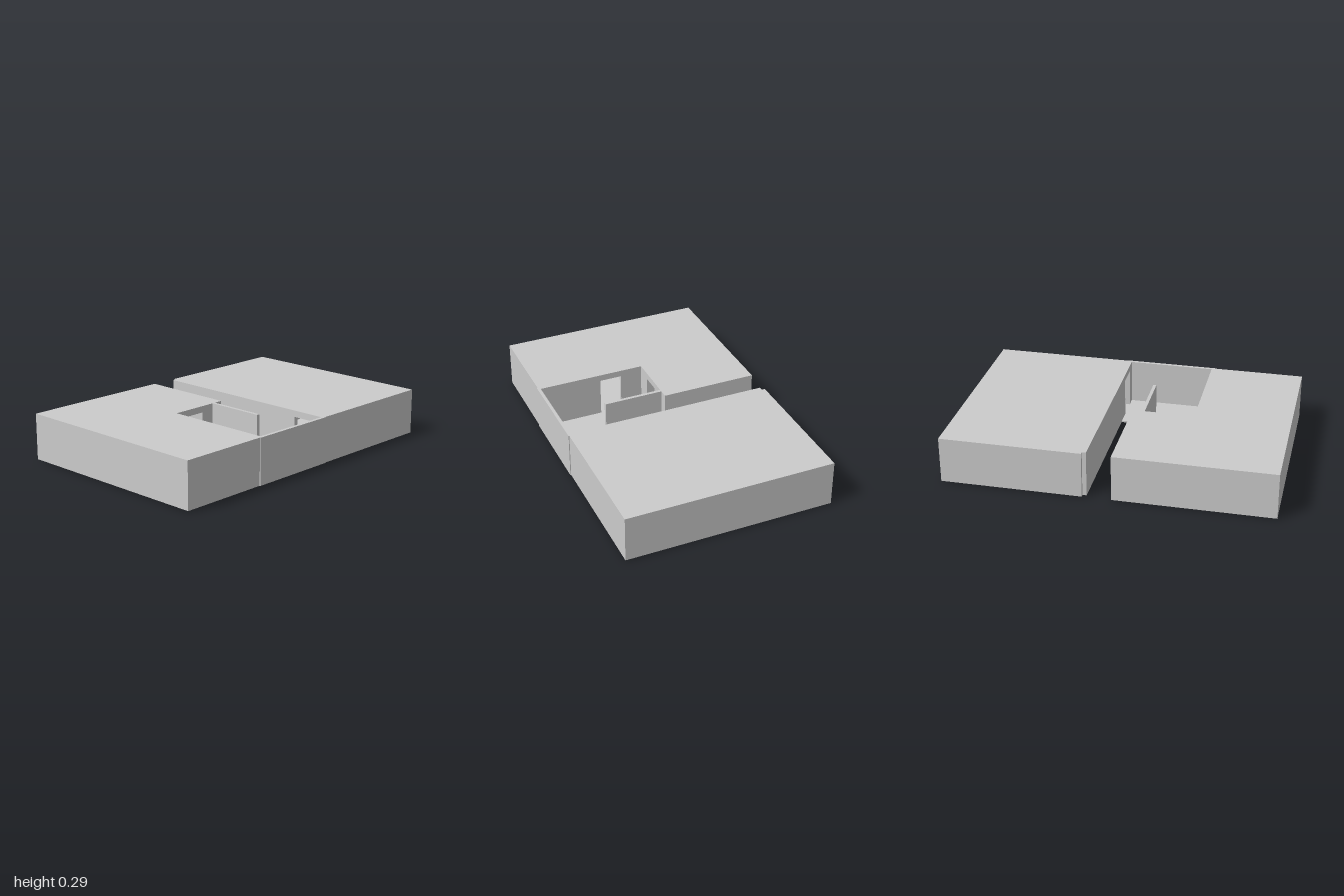
import * as THREE from 'three';

const TOP = 0.29, BASE = 0.005, DOOR = 0.25, FLOOR = 0.01;
const material = new THREE.MeshStandardMaterial({ color: 0xcccccc, side: THREE.DoubleSide });

export function createModel() {
  const model = new THREE.Group();
  model.name = 'building';

  // Box given by its plan rectangle and height range
  function block(name, x0, x1, z0, z1, y0, y1, openBottom = false) {
    const g = new THREE.BoxGeometry(x1 - x0, y1 - y0, z1 - z0);
    if (openBottom) {
      const index = Array.from(g.index.array);
      index.splice(18, 6); // drop the bottom face of a hollow wall
      g.setIndex(index);
      g.clearGroups();
    }
    const mesh = new THREE.Mesh(g, material);
    mesh.position.set((x0 + x1) / 2, (y0 + y1) / 2, (z0 + z1) / 2);
    mesh.name = name;
    model.add(mesh);
  }
  const wall = (name, x0, x1, z0, z1) => block(name, x0, x1, z0, z1, BASE, TOP, true);
  const lintel = (x0, x1, z0, z1) => block('doorLintel', x0, x1, z0, z1, DOOR, TOP);
  const floor = (name, x0, x1, z0, z1) => block(name, x0, x1, z0, z1, 0, FLOOR);
  const roof = (name, x0, x1, z0, z1) => block(name, x0, x1, z0, z1, TOP - 0.005, TOP);

  // Outer walls
  wall('rightOuterWall', -1, -0.98, -0.65, 0.64);
  wall('leftOuterWall', 0.98, 1, -0.65, 0.64);
  wall('backWallRight', -0.98, -0.035, -0.65, -0.63);
  wall('backWallLeft', 0.14, 0.98, -0.65, -0.63);
  wall('frontWallRight', -0.98, -0.435, 0.62, 0.64);
  wall('frontWallCentre', -0.435, 0.14, 0.625, 0.645);
  wall('frontWallLeft', 0.14, 0.98, 0.62, 0.64);

  // Walls along the entrance passage
  wall('passageWallBack', -0.055, -0.035, -0.63, -0.07);
  wall('passageWallScreen', -0.11, -0.09, -0.05, 0.32);
  wall('passageWallLeft', 0.115, 0.14, -0.63, 0.42);

  // Inner walls with doorways
  wall('rightRoomWallBack', -0.435, -0.415, -0.63, 0.09);
  wall('rightRoomWallFront', -0.435, -0.415, 0.23, 0.625);
  lintel(-0.435, -0.415, 0.09, 0.23);
  wall('middleRoomWallA', -0.415, -0.32, -0.07, -0.05);
  wall('middleRoomWallB', -0.2, -0.035, -0.07, -0.05);
  lintel(-0.32, -0.2, -0.07, -0.05);
  wall('leftRoomWall', 0.41, 0.98, -0.085, -0.065);
  wall('courtWallLeft', 0.115, 0.14, 0.56, 0.625);
  lintel(0.115, 0.14, 0.42, 0.56);

  // Floors, with strips through the doorways
  floor('rightRoomFloor', -0.98, -0.435, -0.63, 0.62);
  floor('middleRoomFloor', -0.415, -0.055, -0.63, -0.07);
  floor('courtFloorBack', -0.415, -0.11, -0.05, 0.32);
  floor('courtFloorFront', -0.415, 0.115, 0.32, 0.625);
  floor('leftBackRoomFloor', 0.14, 0.98, -0.63, -0.085);
  floor('leftFrontRoomFloor', 0.14, 0.98, -0.065, 0.62);
  floor('doorSill', -0.435, -0.415, 0.09, 0.23);
  floor('doorSill', -0.32, -0.2, -0.07, -0.05);
  floor('doorSill', 0.115, 0.14, 0.42, 0.56);
  floor('doorSill', 0.14, 0.41, -0.085, -0.065);

  // Flat roofs around the open court
  roof('rightRoof', -1, -0.415, -0.65, 0.64);
  roof('middleRoof', -0.415, -0.035, -0.65, -0.05);
  roof('leftRoof', 0.115, 1, -0.65, 0.64);
  model.children[model.children.length - 1].scale.x = 0.86 / 0.885;
  model.children[model.children.length - 1].position.x = 0.57;

  return model;
}
